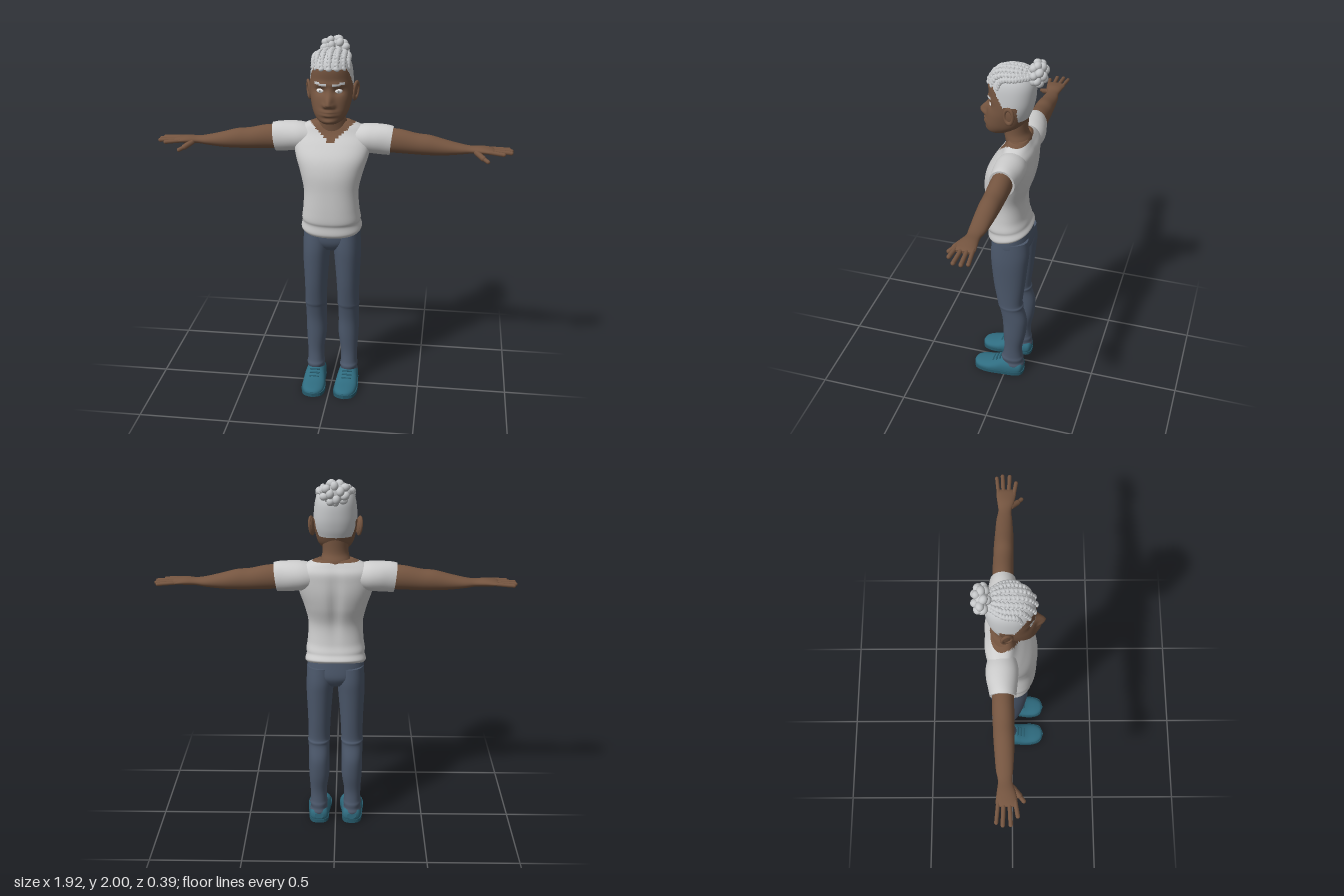
import * as THREE from 'three';
import { mergeGeometries } from 'three/addons/utils/BufferGeometryUtils.js';

const mat = (name, color) => Object.assign(new THREE.MeshStandardMaterial({ color }), { name });
const V = (x, y, z) => new THREE.Vector3(x, y, z);
const gauss = (d, s) => Math.exp(-(d * d) / (s * s));

// Smooth body through cross-sections [t, c1, r1, c2, r2] along an axis.
// axis y: c1 = x, c2 = z; axis x: c1 = z, c2 = y; axis z: c1 = y, c2 = x.
function loft(axis, rows, { seg = 40, sub = 5, pow = 2, warp, pick } = {}) {
  const cubic = (a, b, c, d, t) =>
    b + 0.5 * t * (c - a + t * (2 * a - 5 * b + 4 * c - d + t * (3 * (b - c) + d - a)));
  const rings = [];
  for (let i = 0; i < rows.length - 1; i++) {
    const r = [-1, 0, 1, 2].map(k => rows[Math.min(Math.max(i + k, 0), rows.length - 1)]);
    for (let s = 0; s < sub; s++) rings.push(rows[0].map((_, k) => cubic(r[0][k], r[1][k], r[2][k], r[3][k], s / sub)));
  }
  rings.push(rows[rows.length - 1]);
  const pts = [], groups = [[], []];
  const place = (u, t, v) => {
    const p = axis === 'y' ? V(u, t, v) : axis === 'x' ? V(t, v, u) : V(v, u, t);
    if (warp) warp(p);
    return pts.push(p) - 1;
  };
  const round = c => Math.sign(c) * Math.abs(c) ** (2 / pow);
  const ring = ([t, c1, r1, c2, r2]) => {
    const start = pts.length;
    for (let j = 0; j < seg; j++) {
      const a = j / seg * Math.PI * 2;
      place(c1 + r1 * round(Math.cos(a)), t, c2 + r2 * round(Math.sin(a)));
    }
    return start;
  };
  const face = (...ids) => {
    const c = ids.reduce((s, i) => s.add(pts[i]), V(0, 0, 0)).divideScalar(ids.length);
    const g = groups[pick && pick(c) ? 1 : 0];
    g.push(ids[0], ids[1], ids[2]);
    if (ids.length === 4) g.push(ids[0], ids[2], ids[3]);
  };
  const starts = rings.map(ring);
  for (let i = 0; i < starts.length - 1; i++) for (let j = 0; j < seg; j++) {
    const k = (j + 1) % seg;
    face(starts[i] + j, starts[i + 1] + j, starts[i + 1] + k, starts[i] + k);
  }
  [rings[0], rings[rings.length - 1]].forEach((r, end) => {
    const s = ring(r), c = place(r[1], r[0], r[3]);
    for (let j = 0; j < seg; j++) {
      const k = (j + 1) % seg;
      if (end) face(s + j, c, s + k); else face(s + j, s + k, c);
    }
  });
  const g = new THREE.BufferGeometry().setFromPoints(pts);
  g.setIndex([...groups[0], ...groups[1]]);
  g.addGroup(0, groups[0].length, 0);
  g.addGroup(groups[0].length, groups[1].length, 1);
  g.computeVertexNormals();
  return g;
}

function mirrored(geo) {
  const g = geo.clone().scale(-1, 1, 1);
  const a = g.index.array;
  for (let i = 0; i < a.length; i += 3) [a[i], a[i + 1]] = [a[i + 1], a[i]];
  return g;
}

const ball = (p, s, rot = [0, 0, 0], w = 10, h = 8) => new THREE.SphereGeometry(1, w, h).scale(...s)
  .applyMatrix4(new THREE.Matrix4().makeRotationFromEuler(new THREE.Euler(...rot))).translate(p.x, p.y, p.z);

function limb(a, b, r) {
  const d = b.clone().sub(a), m = a.clone().add(b).multiplyScalar(0.5);
  return new THREE.CapsuleGeometry(r, d.length(), 5, 10)
    .applyQuaternion(new THREE.Quaternion().setFromUnitVectors(V(0, 1, 0), d.normalize())).translate(m.x, m.y, m.z);
}

export function createModel() {
  const model = new THREE.Group();
  model.name = 'standingMan';
  const skin = mat('skin', 0x755540), shirt = mat('shirt', 0xcdcdcd), hair = mat('hair', 0xc6c8ca);
  const denim = mat('denim', 0x4b576a), teal = mat('shoeTeal', 0x2f6c80), sole = mat('soleTeal', 0x265a6b);
  const white = mat('eyeWhite', 0xe6e6e6), iris = mat('iris', 0x8c8c8c);
  const add = (name, geo, m) => {
    const mesh = new THREE.Mesh(geo, m);
    mesh.name = name;
    model.add(mesh);
  };
  const pair = (name, geo, m) => { add(name + 'Left', geo, m); add(name + 'Right', mirrored(geo), m); };

  // Torso: shirt with a V neckline and a hem that rises at the back
  add('shirtBody', loft('y', [
    [0.967, 0, 0.156, -0.005, 0.108], [0.985, 0, 0.166, -0.005, 0.12], [1.02, 0, 0.158, 0.002, 0.114],
    [1.045, 0, 0.16, 0.01, 0.117], [1.1, 0, 0.152, 0.018, 0.113], [1.2, 0, 0.148, 0.02, 0.112],
    [1.3, 0, 0.17, 0.005, 0.127], [1.38, 0, 0.195, -0.012, 0.125], [1.45, 0, 0.207, -0.035, 0.105],
    [1.5, 0, 0.198, -0.053, 0.085], [1.535, 0, 0.165, -0.053, 0.067], [1.565, 0, 0.095, -0.05, 0.052],
  ], {
    seg: 80, sub: 7, pow: 2.3,
    warp: p => {
      p.y -= p.z * 0.24 * Math.max(0, 1 - (p.y - 0.967) / 0.12);
      // spine groove
      if (p.z < 0) p.z += 0.014 * gauss(p.x, 0.03) * gauss(p.y - 1.32, 0.16);
    },
    pick: p => p.y > (p.z > -0.045 ? 1.458 + 0.85 * Math.abs(p.x) : 1.556),
  }), [shirt, skin]);
  pair('sleeve', loft('x', [
    [0.08, -0.05, 0.06, 1.475, 0.055], [0.16, -0.05, 0.08, 1.472, 0.076], [0.22, -0.05, 0.08, 1.47, 0.08],
    [0.28, -0.047, 0.071, 1.466, 0.081], [0.315, -0.045, 0.066, 1.462, 0.078],
  ], { warp: p => { p.x += (p.y - 1.46) * 0.12; } }), shirt);

  // Arms and hands
  pair('arm', loft('x', [
    [0.28, -0.045, 0.055, 1.465, 0.066], [0.36, -0.045, 0.055, 1.461, 0.065], [0.45, -0.043, 0.053, 1.45, 0.057],
    [0.52, -0.041, 0.052, 1.446, 0.054], [0.6, -0.039, 0.048, 1.437, 0.042], [0.68, -0.038, 0.042, 1.432, 0.028],
    [0.735, -0.035, 0.035, 1.432, 0.02], [0.79, -0.03, 0.046, 1.434, 0.02], [0.84, -0.028, 0.053, 1.432, 0.015],
    [0.86, -0.028, 0.046, 1.431, 0.008],
  ]), skin);
  const fingers = [[-0.068, -0.078, 0.935, 0.01], [-0.042, -0.047, 0.947, 0.011], [-0.015, -0.009, 0.945, 0.011], [0.012, 0.025, 0.905, 0.011]]
    .map(([z0, z1, x, r]) => limb(V(0.83, 1.433, z0), V(x, 1.427, z1), r));
  pair('fingers', mergeGeometries(fingers), skin);
  pair('thumb', mergeGeometries([
    limb(V(0.765, 1.425, 0.0), V(0.8, 1.405, 0.033), 0.015), limb(V(0.8, 1.405, 0.033), V(0.825, 1.394, 0.054), 0.011),
  ]), skin);

  // Jeans
  add('jeansHips', loft('y', [
    [0.85, 0, 0.06, -0.02, 0.07], [0.88, 0, 0.125, -0.02, 0.094], [0.92, 0, 0.156, -0.02, 0.106], [1.0, 0, 0.15, -0.014, 0.1],
  ], { seg: 48, pow: 2.2 }), denim);
  pair('jeansLeg', loft('y', [
    [0.045, 0.095, 0.047, -0.042, 0.06], [0.065, 0.095, 0.052, -0.04, 0.068], [0.085, 0.095, 0.047, -0.04, 0.062],
    [0.11, 0.096, 0.051, -0.038, 0.065], [0.135, 0.096, 0.047, -0.04, 0.057], [0.2, 0.096, 0.047, -0.043, 0.053],
    [0.3, 0.092, 0.057, -0.05, 0.065], [0.4, 0.093, 0.058, -0.05, 0.07], [0.48, 0.093, 0.059, -0.032, 0.067],
    [0.505, 0.093, 0.062, -0.028, 0.072], [0.53, 0.092, 0.06, -0.022, 0.071], [0.65, 0.09, 0.064, -0.018, 0.088],
    [0.8, 0.087, 0.073, -0.018, 0.103], [0.88, 0.083, 0.076, -0.02, 0.107], [0.96, 0.08, 0.074, -0.02, 0.1],
  ], { pow: 2.15 }), denim);

  // Shoes: rounded upper, flat sole and laces
  pair('shoeUpper', loft('z', [
    [-0.106, 0.045, 0.02, 0.093, 0.025], [-0.09, 0.045, 0.042, 0.093, 0.048], [-0.04, 0.04, 0.062, 0.094, 0.056],
    [0.02, 0.038, 0.058, 0.094, 0.06], [0.06, 0.03, 0.046, 0.093, 0.063], [0.1, 0.025, 0.034, 0.092, 0.064],
    [0.15, 0.022, 0.027, 0.09, 0.057], [0.18, 0.02, 0.021, 0.089, 0.038], [0.192, 0.02, 0.01, 0.088, 0.015],
  ], { pow: 2.3, warp: p => { p.y = Math.max(p.y, 0.012); } }), teal);
  const outline = new THREE.Shape(new THREE.SplineCurve([
    [0.09, 0.197], [0.04, 0.175], [0.024, 0.11], [0.036, 0.02], [0.041, -0.07], [0.065, -0.104],
    [0.12, -0.104], [0.147, -0.07], [0.156, 0.02], [0.16, 0.11], [0.14, 0.175], [0.09, 0.197],
  ].map(p => new THREE.Vector2(...p))).getPoints(48));
  const soleGeo = new THREE.ExtrudeGeometry(outline, { depth: 0.02, bevelEnabled: false }).rotateX(Math.PI / 2).translate(0, 0.02, 0);
  soleGeo.setIndex([...Array(soleGeo.attributes.position.count).keys()]);
  pair('shoeSole', soleGeo, sole);
  pair('laces', mergeGeometries([0, 1, 2].map(i =>
    limb(V(0.07, 0.09 - i * 0.012, 0.035 + i * 0.02), V(0.117, 0.09 - i * 0.012, 0.035 + i * 0.02), 0.005))), sole);

  // Neck and head, with the face shaped by soft bumps
  add('neck', loft('y', [
    [1.48, 0, 0.085, -0.045, 0.06], [1.55, 0, 0.08, -0.042, 0.068], [1.6, 0, 0.068, -0.027, 0.064], [1.68, 0, 0.072, -0.022, 0.072],
  ]), skin);
  const hairline = z => z > 0.07 ? 1.866 : z > 0.01 ? 1.77 + (z - 0.01) * 1.6 : z > -0.06 ? 1.775 : 1.685;
  add('head', loft('y', [
    [1.582, 0, 0.04, 0.07, 0.04], [1.6, 0, 0.068, 0.058, 0.065], [1.64, 0, 0.093, 0.028, 0.1], [1.7, 0, 0.108, 0.008, 0.113],
    [1.75, 0, 0.114, -0.006, 0.115], [1.8, 0, 0.113, -0.01, 0.119], [1.86, 0, 0.106, -0.008, 0.122],
    [1.9, 0, 0.092, -0.008, 0.108], [1.93, 0, 0.066, -0.01, 0.078], [1.945, 0, 0.03, -0.01, 0.035],
  ], {
    seg: 112, sub: 8, pow: 2.2,
    warp: p => {
      if (p.z < 0.03) return;
      const x = Math.abs(p.x), y = p.y;
      p.z += 0.042 * gauss(x, 0.021) * gauss(y - 1.69, y > 1.69 ? 0.05 : 0.017)
        + 0.014 * gauss(x - 0.022, 0.012) * gauss(y - 1.682, 0.012)
        + 0.016 * gauss(x, 0.036) * (gauss(y - 1.652, 0.009) + gauss(y - 1.633, 0.009))
        + 0.012 * gauss(x, 0.035) * gauss(y - 1.597, 0.016)
        - 0.014 * gauss(x - 0.046, 0.026) * gauss(y - 1.752, 0.016)
        + 0.008 * gauss(x - 0.04, 0.04) * gauss(y - 1.788, 0.014);
    },
    pick: p => {
      const x = Math.abs(p.x), brow = 1.787 + 0.1 * (x - 0.02);
      return p.y > hairline(p.z) || (p.z > 0.03 && x > 0.018 && x < 0.08 && Math.abs(p.y - brow) < 0.0065);
    },
  }), [skin, hair]);
  pair('eye', ball(V(0.047, 1.753, 0.088), [0.021, 0.013, 0.011], [0, 0.25, 0], 20, 14), white);
  pair('iris', ball(V(0.047, 1.753, 0.096), [0.007, 0.007, 0.004], [0, 0.1, 0], 14, 10), iris);
  const earTurn = new THREE.Matrix4().makeRotationFromEuler(new THREE.Euler(-0.15, -0.35, -0.12));
  pair('ear', mergeGeometries([
    new THREE.TorusGeometry(0.026, 0.008, 8, 24).rotateY(Math.PI / 2).scale(1, 1.6, 1),
    ball(V(-0.006, 0, 0), [0.01, 0.045, 0.028], [0, 0, 0], 16, 12),
  ]).applyMatrix4(earTurn).translate(0.124, 1.733, -0.024), skin);

  // Braids sweeping from the forehead to the bun
  const braids = [];
  for (let i = -3; i <= 3; i++) {
    const a = i * 0.38, s = Math.sin(a), c = Math.cos(a);
    const path = new THREE.CatmullRomCurve3([
      V(0.1 * s, 1.868, -0.008 + 0.122 * c), V(0.1 * s, 1.893 + 0.036 * c, -0.01 + 0.08 * c),
      V(0.095 * s, 1.9 + 0.043 * c, -0.04), V(0.045 * s, 1.915 + 0.01 * c, -0.112),
    ]);
    braids.push(new THREE.TubeGeometry(path, 24, 0.011, 8));
    for (let k = 0; k < 14; k++) {
      braids.push(ball(path.getPointAt(k / 13), [0.017, 0.011, 0.011], [0, k % 2 ? 0.6 : 0.25, -a * 0.8]));
    }
  }
  add('braids', mergeGeometries(braids), hair);

  // Bun of bundled braid loops
  const bun = [ball(V(0, 1.93, -0.142), [0.06, 0.05, 0.036], [0, 0, 0], 16, 12)];
  for (let i = 0; i < 20; i++) {
    const v = 1 - 2 * (i + 0.5) / 20, r = Math.sqrt(1 - v * v), a = i * 2.39996;
    bun.push(ball(V(0.06 * r * Math.cos(a), 1.93 + 0.05 * v, -0.142 + 0.032 * r * Math.sin(a)), [0.025, 0.021, 0.021], [0, a, a], 12, 9));
  }
  add('hairBun', mergeGeometries(bun), hair);
  return model;
}
